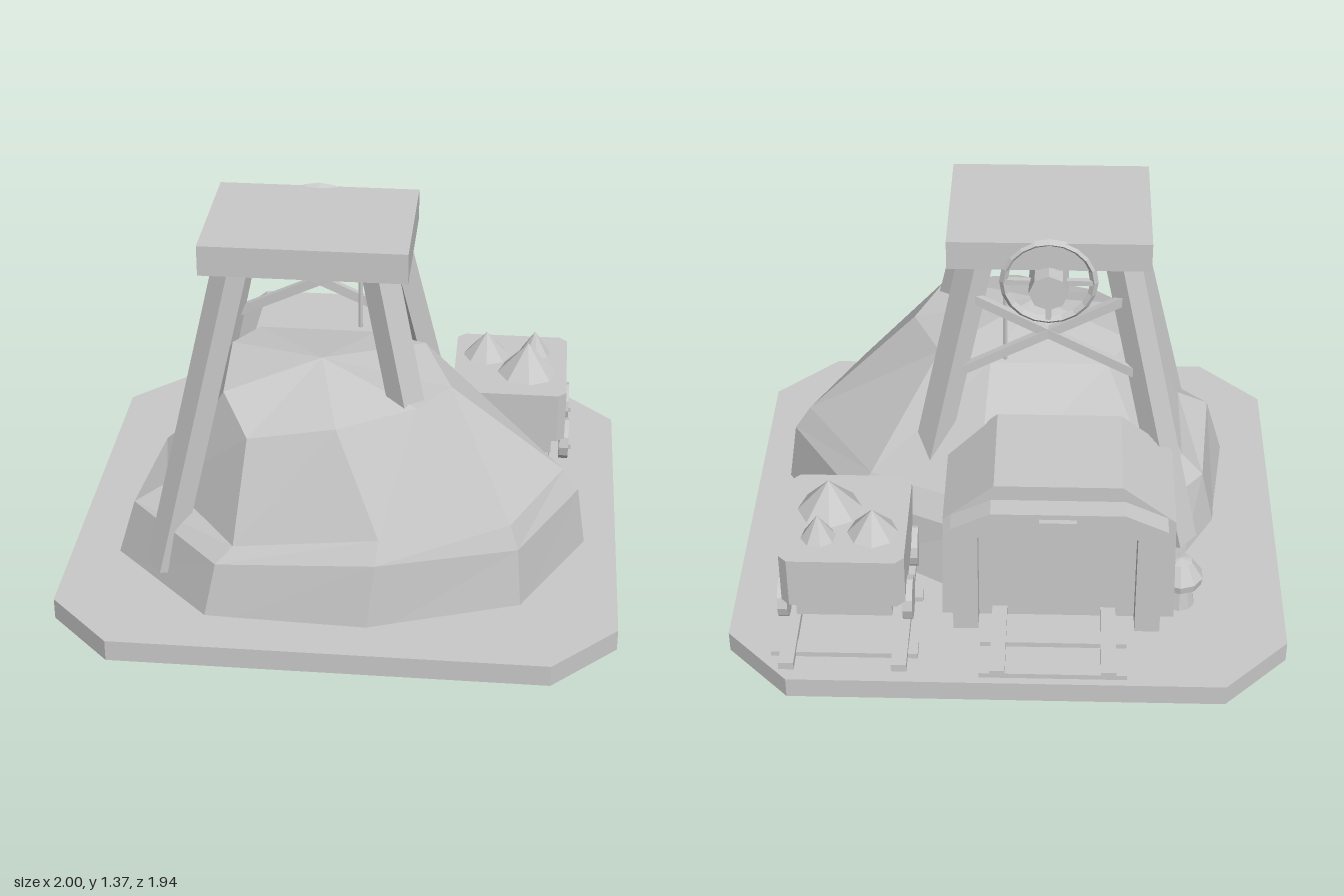
import * as THREE from 'three';

export function createModel() {
  const model = new THREE.Group();
  model.name = 'mine';
  const stone = new THREE.MeshStandardMaterial({ color: 0xc8c8c8, flatShading: true, side: THREE.DoubleSide });
  stone.name = 'grey';

  const add = (name, geo, x = 0, y = 0, z = 0, parent = model) => {
    const m = new THREE.Mesh(geo, stone);
    m.name = name;
    m.position.set(x, y, z);
    parent.add(m);
    return m;
  };
  // box given by its minimum and maximum on each axis
  const box = (name, x0, x1, y0, y1, z0, z1) =>
    add(name, new THREE.BoxGeometry(x1 - x0, y1 - y0, z1 - z0), (x0 + x1) / 2, (y0 + y1) / 2, (z0 + z1) / 2);
  // bar between two points
  const bar = (name, a, b, w, t) => {
    const p = new THREE.Vector3(...a), q = new THREE.Vector3(...b);
    const m = add(name, new THREE.BoxGeometry(w, t, p.distanceTo(q)));
    m.position.copy(p).lerp(q, 0.5);
    m.lookAt(q);
    return m;
  };
  // stacked rings joined by faces, optionally closed by a peak
  const loft = (rings, peak) => {
    const pos = [];
    const tri = (...pts) => pts.forEach((p) => pos.push(...p));
    const n = rings[0].length;
    for (let i = 0; i < n; i++) {
      const j = (i + 1) % n;
      for (let k = 0; k + 1 < rings.length; k++) {
        const [a, b, c, d] = [rings[k][i], rings[k][j], rings[k + 1][j], rings[k + 1][i]];
        tri(a, b, c);
        tri(a, c, d);
      }
      const top = rings[rings.length - 1];
      tri(top[i], top[j], peak);
    }
    const g = new THREE.BufferGeometry();
    g.setAttribute('position', new THREE.Float32BufferAttribute(pos, 3));
    g.computeVertexNormals();
    return g;
  };

  // base: clipped rectangle, open underneath
  const corners = [[-1, 0.74], [-0.77, 0.97], [0.77, 0.97], [1, 0.74], [1, -0.74], [0.77, -0.97], [-0.77, -0.97], [-1, -0.74]];
  add('base', loft([0, 0.08].map((y) => corners.map(([x, z]) => [x, y, z])), [0, 0.08, 0]));

  // rocky mound: skirt, lower bend, shoulder and crown
  const foot = [[-0.84, 0.41], [-0.46, 0.79], [0.12, 0.81], [0.66, 0.62], [0.89, 0.18],
    [0.61, -0.25], [0.13, -0.53], [-0.64, -0.3], [-0.78, -0.05]].map(([x, z]) => [x, 0.03, z]);
  const bend = [[-0.76, 0.3, 0.41], [-0.41, 0.28, 0.76], [0.15, 0.32, 0.78], [0.64, 0.3, 0.6], [0.85, 0.31, 0.19],
    [0.58, 0.31, -0.23], [0.13, 0.33, -0.46], [-0.57, 0.33, -0.27], [-0.72, 0.3, -0.05]];
  const shoulder = [[-0.64, 0.37, 0.38], [-0.35, 0.34, 0.73], [0.16, 0.4, 0.74], [0.61, 0.39, 0.58], [0.79, 0.4, 0.2],
    [0.52, 0.4, -0.2], [0.12, 0.42, -0.4], [-0.52, 0.42, -0.24], [-0.64, 0.38, -0.03]];
  const crown = [[-0.42, 0.77, 0.4], [-0.31, 0.7, 0.6], [0, 0.76, 0.61], [0.27, 0.8, 0.51], [0.38, 0.77, 0.29],
    [0.27, 0.8, 0.02], [0.08, 0.8, -0.05], [-0.35, 0.8, -0.05], [-0.43, 0.81, 0.1]];
  add('mound', loft([foot, bend, shoulder, crown], [-0.08, 0.865, 0.29]));

  // head frame: slab on four splayed legs
  const cx = -0.13, cz = 0.165;
  box('frameTop', -0.49, 0.23, 1.24, 1.35, -0.11, 0.44);
  for (const sx of [-1, 1]) {
    for (const sz of [-1, 1]) {
      bar('frameLeg', [cx + sx * 0.505, 0.13, cz + sz * 0.4], [cx + sx * 0.255, 1.26, cz + sz * 0.2], 0.1, 0.08);
    }
    bar('crossBrace', [cx - sx * 0.34, 0.81, -0.13], [cx + sx * 0.27, 1.11, -0.09], 0.025, 0.035);
  }

  // winding wheel, hub, spokes and rope
  const wheel = new THREE.Group();
  wheel.name = 'windingWheel';
  wheel.position.set(cx, 1.19, -0.105);
  model.add(wheel);
  add('wheelRim', new THREE.TorusGeometry(0.16, 0.015, 4, 20), 0, 0, 0, wheel);
  const hub = add('wheelHub', new THREE.CylinderGeometry(0.07, 0.07, 0.2, 8), 0, -0.005, 0.03, wheel);
  hub.rotation.x = Math.PI / 2;
  for (let i = 0; i < 2; i++) {
    add('wheelSpoke', new THREE.BoxGeometry(0.31, 0.02, 0.02), 0, 0, 0, wheel).rotation.z = i * Math.PI / 2;
  }
  add('rope', new THREE.CylinderGeometry(0.009, 0.009, 0.36, 6), 0.025, 1, -0.05);

  // mine entrance: body with sloping roof sides
  const profile = new THREE.Shape([[-0.6, 0.06], [0.24, 0.06], [0.23, 0.52], [0.05, 0.67], [-0.4, 0.67], [-0.59, 0.52]]
    .map((p) => new THREE.Vector2(...p)));
  add('entranceBody', new THREE.ExtrudeGeometry(profile, { depth: 0.42, bevelEnabled: false }), 0, 0, -0.61);
  for (const sx of [-1, 1]) {
    const x = -0.175 + sx * 0.325;
    box('entrancePost', x - 0.045, x + 0.045, 0.08, 0.52, -0.69, -0.57);
  }
  const lintel = new THREE.Shape([[-0.56, 0.5], [-0.46, 0.5], [-0.4, 0.53], [0.05, 0.53], [0.11, 0.5], [0.2, 0.5],
    [0.2, 0.54], [0.06, 0.61], [-0.41, 0.61], [-0.56, 0.54]].map((p) => new THREE.Vector2(...p)));
  add('entranceLintel', new THREE.ExtrudeGeometry(lintel, { depth: 0.13, bevelEnabled: false }), 0, 0, -0.69);
  box('lintelPlate', -0.24, -0.11, 0.54, 0.59, -0.71, -0.68);

  // tracks: two rails over sleepers
  const track = (x, gauge, z0, z1, half, sleepers) => {
    for (const sx of [-1, 1]) {
      const r = x + sx * gauge;
      box('rail', r - 0.027, r + 0.027, 0.09, 0.12, z0, z1);
    }
    sleepers.forEach((z) => box('sleeper', x - half, x + half, 0.075, 0.1, z - 0.032, z + 0.032));
  };
  track(-0.165, 0.195, -0.95, -0.6, 0.26, [-0.91, -0.75]);
  track(0.573, 0.198, -0.93, -0.1, 0.26, [-0.82, -0.52, -0.22]);

  // ore cart: chamfered tub, chassis, wheels and ore
  const hx = 0.22, hz = 0.245, c = 0.03;
  const tub = new THREE.Shape([[-hx, -hz + c], [-hx + c, -hz], [hx - c, -hz], [hx, -hz + c],
    [hx, hz - c], [hx - c, hz], [-hx + c, hz], [-hx, hz - c]].map((p) => new THREE.Vector2(...p)));
  const body = add('cartTub', new THREE.ExtrudeGeometry(tub, { depth: 0.2, bevelEnabled: false }), 0.58, 0.24, -0.515);
  body.rotation.x = -Math.PI / 2;
  box('cartChassis', 0.41, 0.75, 0.17, 0.245, -0.73, -0.3);
  box('cartUnderside', 0.43, 0.73, 0.13, 0.18, -0.6, -0.43);
  for (const z of [-0.37, -0.66]) {
    for (const x of [0.355, 0.8]) {
      add('cartWheel', new THREE.CylinderGeometry(0.08, 0.08, 0.035, 12), x, 0.2, z).rotation.z = Math.PI / 2;
    }
  }
  for (const [x, z, r, h] of [[0.48, -0.59, 0.1, 0.1], [0.67, -0.62, 0.07, 0.095], [0.645, -0.46, 0.125, 0.125]]) {
    add('orePile', new THREE.ConeGeometry(r, h + 0.01, 8), x, 0.435 + h / 2, z).rotation.y = x * 5;
  }

  // lantern post beside the entrance
  const lamp = [[0.06, 0.07], [0.045, 0.17], [0.08, 0.18], [0.085, 0.21], [0.042, 0.275], [0, 0.285]];
  add('lantern', new THREE.LatheGeometry(lamp.map((p) => new THREE.Vector2(...p)), 10), -0.62, 0, -0.52);

  return model;
}
